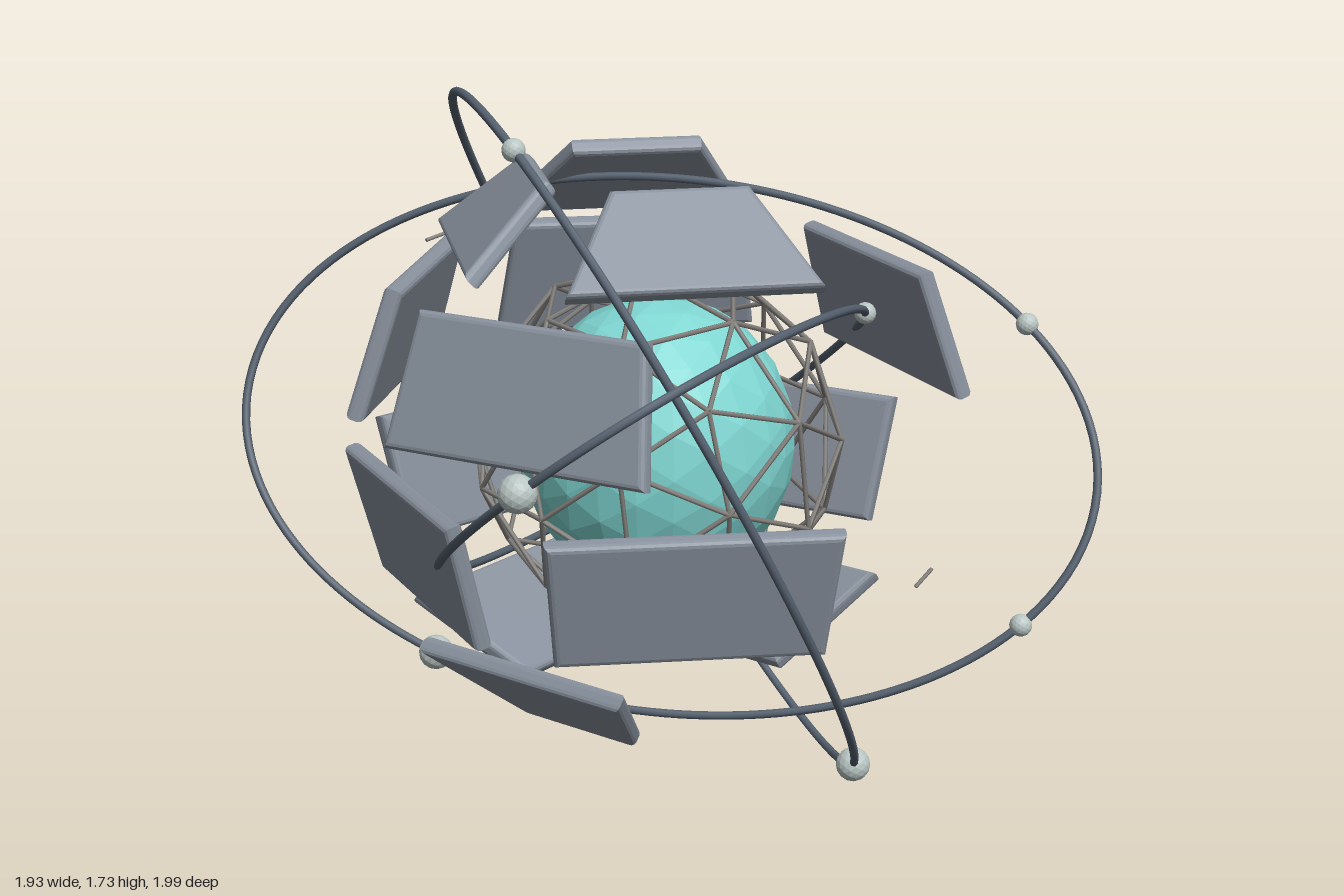
import * as THREE from 'three';
import { mergeGeometries } from 'three/addons/utils/BufferGeometryUtils.js';

const V = (a) => new THREE.Vector3(...a);
const mat = (name, color, flat = false) => {
  const m = new THREE.MeshStandardMaterial({ color, flatShading: flat });
  m.name = name;
  return m;
};

// thin rod between two points
function rod(a, b, radius, sides = 5) {
  const dir = b.clone().sub(a);
  const g = new THREE.CylinderGeometry(radius, radius, dir.length(), sides);
  g.applyQuaternion(new THREE.Quaternion().setFromUnitVectors(new THREE.Vector3(0, 1, 0), dir.normalize()));
  const c = a.clone().add(b).multiplyScalar(0.5);
  return g.translate(c.x, c.y, c.z);
}

// bevelled trapezoid plate, centred on its own plane, facing +z
function plate(halfLow, halfHigh, height) {
  const bevel = 0.014, depth = 0.016, h = height / 2 - bevel;
  const lo = halfLow - bevel, hi = halfHigh - bevel;
  const s = new THREE.Shape();
  s.moveTo(-lo, -h);
  s.lineTo(lo, -h);
  s.lineTo(hi, h);
  s.lineTo(-hi, h);
  s.closePath();
  const g = new THREE.ExtrudeGeometry(s, {
    depth, bevelEnabled: true, bevelThickness: bevel, bevelSize: bevel, bevelSegments: 3,
  });
  return g.translate(0, 0, -depth / 2);
}

export function createModel() {
  const model = new THREE.Group();
  const centre = new THREE.Group();
  centre.position.y = 0.86;
  model.add(centre);

  const coreMat = mat('coreTeal', 0x7fd6d2, true);
  const cageMat = mat('cageGrey', 0x85827e);
  const panelMat = mat('panelSteel', 0x88919d);
  const ringMat = mat('ringSlate', 0x566270);
  const beadMat = mat('beadPale', 0xb9c6c3, true);
  const add = (name, geo, material, parent = centre) => {
    const m = new THREE.Mesh(geo, material);
    m.name = name;
    parent.add(m);
    return m;
  };

  // faceted core
  add('core', new THREE.IcosahedronGeometry(1, 3), coreMat).scale.set(0.325, 0.348, 0.302);

  // geodesic cage of rods around the core
  const edges = new THREE.EdgesGeometry(new THREE.IcosahedronGeometry(0.435, 1), 1).attributes.position;
  const rods = [];
  for (let i = 0; i < edges.count; i += 2) {
    const a = new THREE.Vector3().fromBufferAttribute(edges, i);
    const b = new THREE.Vector3().fromBufferAttribute(edges, i + 1);
    rods.push(rod(a, b, 0.006));
  }
  add('cage', mergeGeometries(rods), cageMat).rotation.set(0.1, 0.25, 0.12);

  // shell rows: [radius, height, half width] of lower and upper edge, azimuths in degrees
  const rows = [
    { name: 'topPanel', low: [0.465, 0.47, 0.28], high: [0.265, 0.655, 0.16], at: [3, 183, 273] },
    { name: 'upperPanel', low: [0.637, 0.113, 0.325], high: [0.547, 0.412, 0.285], at: [108, 180, 252, 324] },
    { name: 'lowerPanel', low: [0.562, -0.317, 0.3], high: [0.64, -0.012, 0.325], at: [0, 144, 216, 288] },
    { name: 'bottomPanel', low: [0.28, -0.615, 0.165], high: [0.51, -0.415, 0.29], at: [135, 225, 315] },
  ];
  for (const { name, low, high, at } of rows) {
    const dr = high[0] - low[0], dy = high[1] - low[1];
    const geo = plate(low[2], high[2], Math.hypot(dr, dy));
    geo.rotateX(Math.atan2(dr, dy));
    geo.translate(0, (low[1] + high[1]) / 2, (low[0] + high[0]) / 2);
    for (const deg of at) add(name, geo, panelMat).rotation.y = THREE.MathUtils.degToRad(deg);
  }

  // elliptical orbit rings: two half axes, beads as [cos, sin, radius]
  const orbits = [
    {
      name: 'wideOrbit', a: V([0.957, 0.02, 0.355]), b: V([0, 0.575, -0.268]),
      beads: [[0.867, 0.498, 0.026], [0.805, -0.594, 0.026], [-0.553, -0.833, 0.041]],
    },
    {
      name: 'tallOrbit', a: V([-0.44, 0.855, 0.14]), b: V([0.12, 0, 0.686]),
      beads: [[0.918, 0.395, 0.026], [-0.901, 0.434, 0.041], [0.267, -0.964, 0.024], [-0.51, -0.86, 0.024]],
    },
    {
      name: 'deepOrbit', a: V([-0.22, 0.339, 0.985]), b: V([0.488, 0.297, 0]),
      beads: [[0.926, -0.4, 0.041], [-0.03, 1, 0.026], [-0.957, -0.29, 0.026], [-0.975, -0.22, 0.026]],
    },
  ];
  for (const { name, a, b, beads } of orbits) {
    const group = new THREE.Group();
    group.name = name;
    centre.add(group);
    const point = (c, s) => a.clone().multiplyScalar(c).addScaledVector(b, s);
    const pts = [];
    for (let i = 0; i < 48; i++) {
      const t = (i / 48) * Math.PI * 2;
      pts.push(point(Math.cos(t), Math.sin(t)));
    }
    add('orbitRing', new THREE.TubeGeometry(new THREE.CatmullRomCurve3(pts, true), 160, 0.01, 8, true), ringMat, group);
    for (const [c, s, r] of beads) {
      add('bead', new THREE.IcosahedronGeometry(r, 2), beadMat, group).position.copy(point(c, s));
    }
  }

  // tiny loose splinters
  add('splinter', rod(V([-0.5, 0.355, -0.605]), V([-0.452, 0.365, -0.632]), 0.005, 6), cageMat);
  add('splinter', rod(V([0.632, -0.4, -0.02]), V([0.676, -0.362, -0.04]), 0.005, 6), cageMat);

  return model;
}
